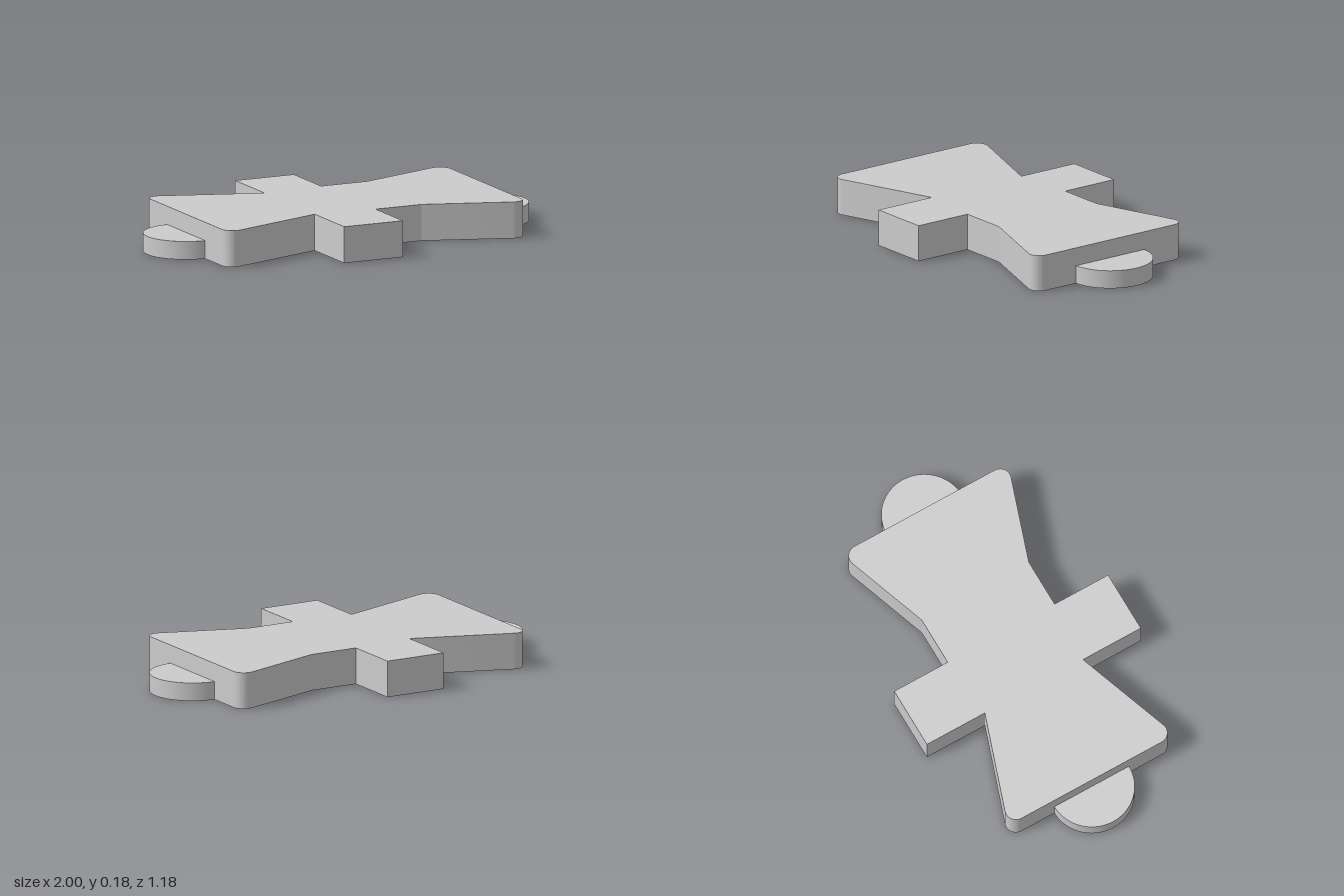
import * as THREE from 'three';
import { toCreasedNormals } from 'three/addons/utils/BufferGeometryUtils.js';

const BODY_HEIGHT = 0.177, TAB_HEIGHT = 0.088;
const END_X = 0.795, TAB_RADIUS = 0.205;
const CORNER = { x: 0.742, z: 0.386, r: 0.053, sweep: THREE.MathUtils.degToRad(109) };

export function createModel() {
  const group = new THREE.Group();
  const material = new THREE.MeshStandardMaterial({ color: 0xcccccc });

  // Extrude a plan outline upward from the ground, smoothing only the curves
  function addPlate(name, shape, depth) {
    const geometry = new THREE.ExtrudeGeometry(shape, { depth, bevelEnabled: false, curveSegments: 24 });
    geometry.rotateX(-Math.PI / 2);
    const mesh = new THREE.Mesh(toCreasedNormals(geometry, 0.25), material);
    mesh.name = name;
    group.add(mesh);
  }

  // Flared body with rounded corners and an off-centre cross arm
  const { x, z, r, sweep } = CORNER;
  const body = new THREE.Shape();
  body.moveTo(END_X, 0);
  body.absarc(x, z, r, 0, sweep);
  body.lineTo(0.31, 0.294);
  body.lineTo(0.065, 0.294);
  body.lineTo(0.065, 0.588);
  body.lineTo(-0.246, 0.588);
  body.lineTo(-0.246, 0.27);
  body.absarc(-x, z, r, Math.PI - sweep, Math.PI);
  body.absarc(-x, -z, r, Math.PI, Math.PI + sweep);
  body.lineTo(-0.246, -0.27);
  body.lineTo(-0.246, -0.588);
  body.lineTo(0.065, -0.588);
  body.lineTo(0.065, -0.294);
  body.lineTo(0.31, -0.294);
  body.absarc(x, -z, r, -sweep, 0);
  body.closePath();
  addPlate('body', body, BODY_HEIGHT);

  // Low half-round tab at each end
  for (const side of [1, -1]) {
    const tab = new THREE.Shape();
    const start = side > 0 ? -Math.PI / 2 : Math.PI / 2;
    tab.absarc(side * END_X, 0, TAB_RADIUS, start, start + Math.PI);
    tab.closePath();
    addPlate(side > 0 ? 'leftTab' : 'rightTab', tab, TAB_HEIGHT);
  }
  return group;
}
